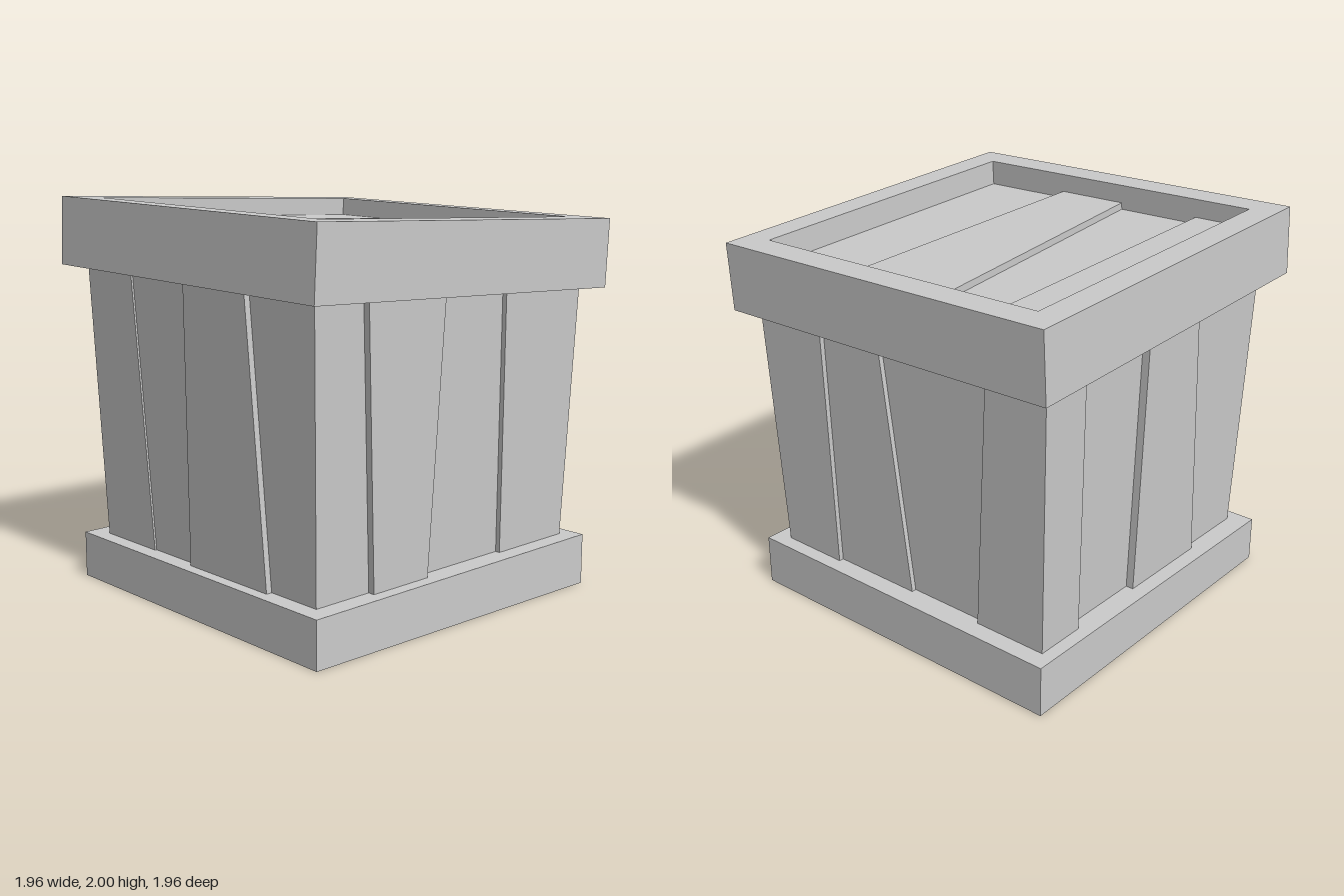
import * as THREE from 'three';

const material = new THREE.MeshStandardMaterial({ color: 0xcccccc });

function addMesh(parent, name, geometry) {
  const mesh = new THREE.Mesh(geometry, material);
  mesh.name = name;
  parent.add(mesh);
  return mesh;
}

// A box whose corners are moved by a rule; u, v, w are each 0 or 1
function shapedBox(rule) {
  const geometry = new THREE.BoxGeometry(1, 1, 1);
  const p = geometry.attributes.position;
  for (let i = 0; i < p.count; i++) {
    p.setXYZ(i, ...rule(p.getX(i) + 0.5, p.getY(i) + 0.5, p.getZ(i) + 0.5));
  }
  geometry.computeVertexNormals();
  return geometry;
}

const lerp = THREE.MathUtils.lerp;

// Four walls, turning from the front round by +x. Seams run left to right as
// seen from outside, at the top and bottom; depth is each plank's outer face.
const TAPER = 0.045;
const walls = [
  { name: 'front', top: [-0.6, -0.115, 0.33], bottom: [-0.52, -0.17, 0.37], depth: [0.865, 0.9, 0.85, 0.875] },
  { name: 'left', top: [-0.46, -0.1, 0.56], bottom: [-0.46, 0.03, 0.46], depth: [0.885, 0.86, 0.835, 0.865] },
  { name: 'back', top: [-0.585, -0.09, 0.32], bottom: [-0.545, -0.085, 0.445], depth: [0.9, 0.85, 0.89, 0.86] },
  { name: 'right', top: [-0.48, -0.03, 0.43], bottom: [-0.4, -0.07, 0.51], depth: [0.895, 0.885, 0.915, 0.885] },
];

function buildWall(index) {
  const wall = walls[index];
  const group = new THREE.Group();
  group.name = wall.name + 'Wall';
  group.rotation.y = index * Math.PI / 2;

  // The outer edges end flush with the neighbouring walls
  const start = -walls[(index + 3) % 4].depth[3];
  const end = walls[(index + 1) % 4].depth[0];
  const top = [start, ...wall.top, end];
  const bottom = [start + TAPER, ...wall.bottom, end - TAPER];
  const thickness = 0.12;

  wall.depth.forEach((depth, i) => {
    addMesh(group, 'wallPlank', shapedBox((u, v, w) => {
      const y = lerp(0.2, 1.68, v);
      const t = (y - 0.25) / 1.33;
      let x = lerp(bottom[i + u], top[i + u], t);
      // Mitred inner edge at the corners
      if (w === 0 && i + u === 0) x += thickness;
      if (w === 0 && i + u === 4) x -= thickness;
      return [x, y, depth - TAPER * (1 - t) - thickness * (1 - w)];
    }));
  });
  return group;
}

function buildLid() {
  const lid = new THREE.Group();
  lid.name = 'lid';

  // Square rim with an opening
  const square = (r) => [[-r, -r], [r, -r], [r, r], [-r, r]].map(([x, y]) => new THREE.Vector2(x, y));
  const shape = new THREE.Shape(square(0.976));
  shape.holes.push(new THREE.Path(square(0.83).reverse()));
  const rim = new THREE.ExtrudeGeometry(shape, { depth: 0.346, bevelEnabled: false });
  rim.rotateX(Math.PI / 2);
  addMesh(lid, 'lidRim', rim);

  // Sunken planks at alternating heights
  const seams = [
    [-0.83, -0.52, -0.06, 0.33, 0.83],
    [-0.83, -0.52, -0.21, 0.365, 0.83],
  ];
  [-0.095, -0.13, -0.095, -0.13].forEach((height, i) => {
    addMesh(lid, 'lidPlank', shapedBox((u, v, w) => [
      u ? 0.83 : -0.83, v ? height : -0.2, seams[u][i + w],
    ]));
  });

  // The lid sits slightly askew
  lid.position.set(0.004, 1.947, 0.004);
  lid.rotation.set(0.0225, 0, -0.031);
  return lid;
}

export function createModel() {
  const crate = new THREE.Group();
  crate.name = 'crate';

  // Base with a slightly sloping top
  addMesh(crate, 'base', shapedBox((u, v, w) => [
    u ? 0.917 : -0.928, v * (u ? 0.262 : 0.237), w ? 0.922 : -0.925,
  ]));

  walls.forEach((_, i) => crate.add(buildWall(i)));
  crate.add(buildLid());
  return crate;
}
